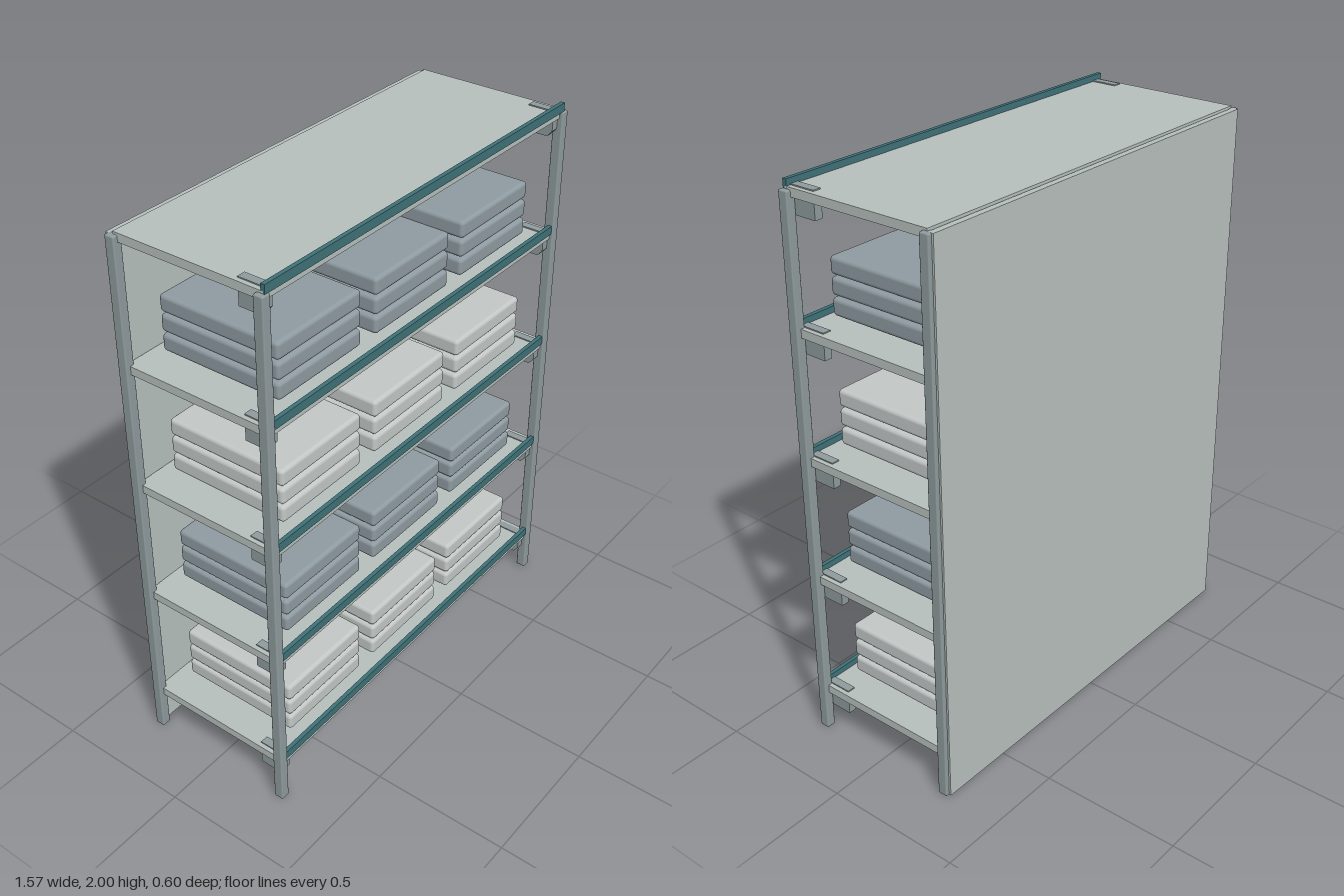
import * as THREE from 'three';
import { RoundedBoxGeometry } from 'three/addons/geometries/RoundedBoxGeometry.js';

const material = (name, color) => {
  const m = new THREE.MeshStandardMaterial({ color });
  m.name = name;
  return m;
};

export function createModel() {
  const panelGrey = material('panel grey', 0xb7c0bd);
  const frameGrey = material('frame grey', 0x8f9b9d);
  const trimTeal = material('trim teal', 0x3f7278);
  const lightFabric = material('light fabric', 0xc3c8c7);
  const darkFabric = material('dark fabric', 0x8e9ba1);

  const model = new THREE.Group();
  model.name = 'shelvingUnit';

  const add = (parent, name, geometry, mat, x, y, z) => {
    const mesh = new THREE.Mesh(geometry, mat);
    mesh.name = name;
    mesh.position.set(x, y, z);
    parent.add(mesh);
    return mesh;
  };

  // Back panel, standing on the floor
  add(model, 'backPanel', new THREE.BoxGeometry(1.54, 1.97, 0.022), panelGrey, 0, 0.985, -0.289);

  // Four corner posts
  const postGeometry = new RoundedBoxGeometry(0.034, 1.97, 0.036, 2, 0.005);
  for (const side of [-1, 1]) {
    add(model, 'frontPost', postGeometry, frameGrey, side * 0.767, 0.985, 0.281);
    add(model, 'backPost', postGeometry, frameGrey, side * 0.767, 0.985, -0.275);
  }

  // Bracket side profile (depth, height) with a chamfered front lower corner
  const profile = new THREE.Shape([
    [0.183, 0.004], [0.183, -0.09], [0.262, -0.09], [0.28, -0.068], [0.28, 0.004],
  ].map(([z, y]) => new THREE.Vector2(-z, y)));
  const bracketGeometry = new THREE.ExtrudeGeometry(profile, { depth: 0.03, bevelEnabled: false });
  bracketGeometry.translate(0, 0, -0.015).rotateY(Math.PI / 2);

  const shelfGeometry = new THREE.BoxGeometry(1.534, 0.03, 0.562);
  const lipGeometry = new THREE.BoxGeometry(1.534, 0.031, 0.015);
  const bundleGeometry = new RoundedBoxGeometry(0.39, 0.062, 0.463, 3, 0.014);

  for (let level = 0; level < 5; level++) {
    const top = 0.176 + level * 0.4505;
    const tier = new THREE.Group();
    tier.name = 'tier';
    tier.position.y = top;
    model.add(tier);

    // Shelf board, teal front lip and corner brackets
    add(tier, 'shelf', shelfGeometry, panelGrey, 0, -0.015, 0.006);
    add(tier, 'frontLip', lipGeometry, trimTeal, 0, 0.0065, 0.286);
    for (const side of [-1, 1]) {
      add(tier, 'bracket', bracketGeometry, frameGrey, side * 0.736, 0, 0);
    }

    // Three stacks of three soft-edged bundles on every shelf but the top
    if (level === 4) continue;
    const fabric = level % 2 ? darkFabric : lightFabric;
    for (let column = -1; column <= 1; column++) {
      for (let layer = 0; layer < 3; layer++) {
        add(tier, 'bundle', bundleGeometry, fabric, column * 0.463, 0.046 + layer * 0.0685, 0.006);
      }
    }
  }

  return model;
}
